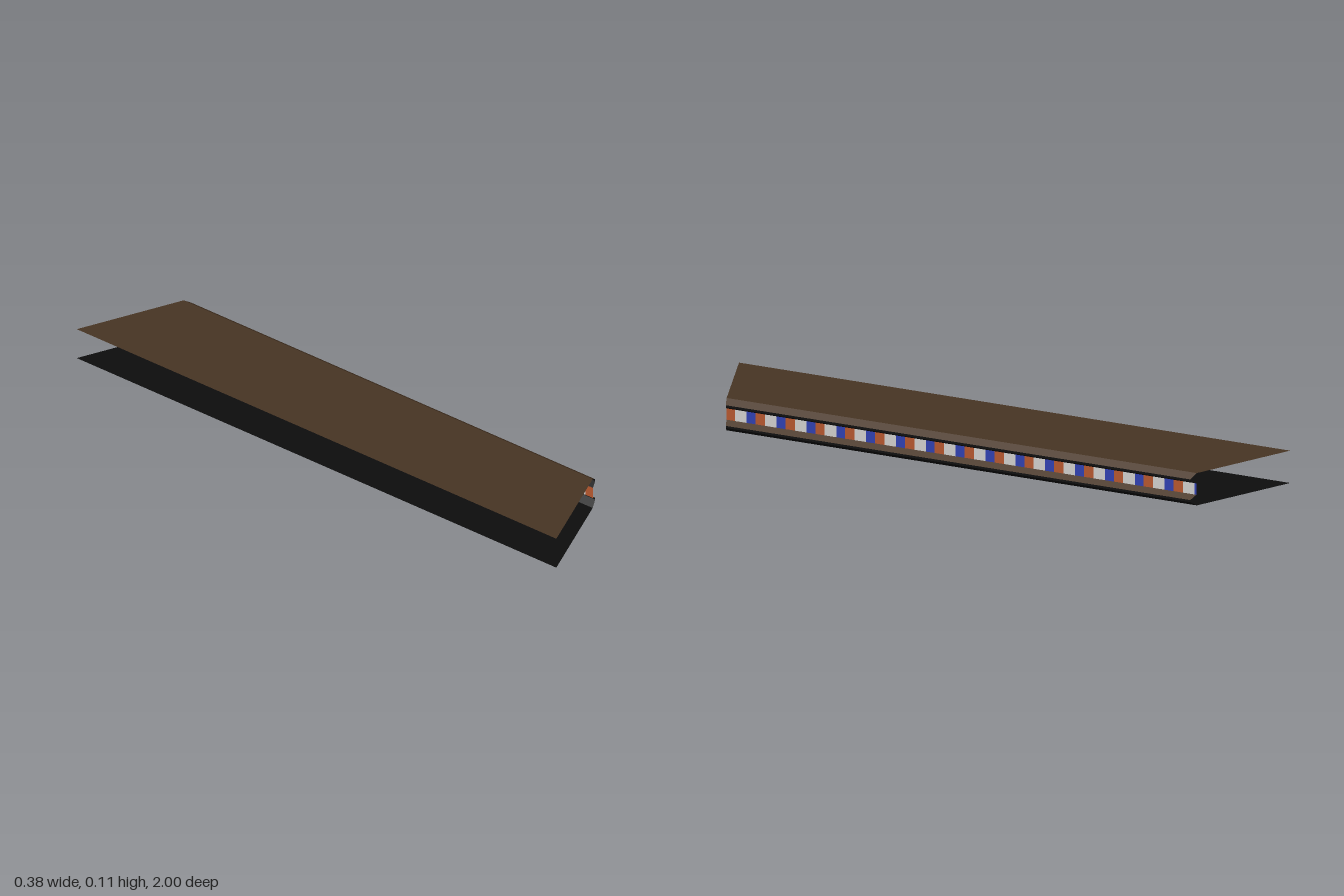
import * as THREE from 'three';

const mat = (name, color) => {
  const m = new THREE.MeshStandardMaterial({ color, side: THREE.DoubleSide });
  m.name = name;
  return m;
};

// Mitred end: how far the strip reaches along z at a given x
const endZ = (x) => 1 - 0.414 * (x + 0.19);

// Flat strip between two profile points, optionally clipped to a z range
function strip(name, [xa, ya], [xb, yb], material, zMin = -2, zMax = 2) {
  const a = endZ(xa), b = endZ(xb);
  const p = [
    xa, ya, Math.min(a, zMax), xb, yb, Math.min(b, zMax),
    xb, yb, Math.max(-b, zMin), xa, ya, Math.max(-a, zMin),
  ];
  const g = new THREE.BufferGeometry();
  g.setAttribute('position', new THREE.Float32BufferAttribute(p, 3));
  g.setIndex([0, 1, 2, 0, 2, 3]);
  g.computeVertexNormals();
  const mesh = new THREE.Mesh(g, material);
  mesh.name = name;
  return mesh;
}

export function createModel() {
  const brown = mat('dark wood brown', 0x483524);
  const black = mat('black', 0x0d0d0d);
  const white = mat('bead white', 0xd0cfcd);
  const blue = mat('bead blue', 0x2f3fb0);
  const orange = mat('bead orange', 0xb5562d);

  const model = new THREE.Group();
  model.name = 'mitredTrim';

  // Upper and lower flanges around the recess, open at the back (-x)
  const bandX = 0.167, bandTop = 0.074, bandBottom = 0.036;
  const profile = [
    ['topPlate', [-0.19, 0.108], brown],
    ['topChamfer', [0.165, 0.108], brown],
    ['topLip', [0.19, 0.092], black],
    ['topRecess', [0.19, 0.085], black],
    ['band', [bandX, bandTop], null],
    ['bottomRecess', [bandX, bandBottom], brown],
    ['bottomLip', [0.19, 0.023], black],
    ['bottomChamfer', [0.19, 0.016], black],
    ['bottomPlate', [0.165, 0], black],
    ['end', [-0.19, 0], null],
  ];
  for (let i = 0; i < profile.length - 1; i++) {
    const [name, p, material] = profile[i];
    if (material) model.add(strip(name, p, profile[i + 1][1], material));
  }

  // Repeating coloured band set into the recess
  const beads = new THREE.Group();
  beads.name = 'beadBand';
  const pattern = [[orange, 0.034], [white, 0.042], [blue, 0.0323]];
  const end = endZ(bandX);
  let z = 0.855;
  for (let i = 0; z > -end; i++) {
    const [material, width] = pattern[i % 3];
    // The last bead runs to the mitre
    const low = z - width < -end + 0.004 ? -2 : z - width;
    beads.add(strip('bead', [bandX, bandTop], [bandX, bandBottom], material, low, z));
    z = low;
  }
  model.add(beads);
  return model;
}
